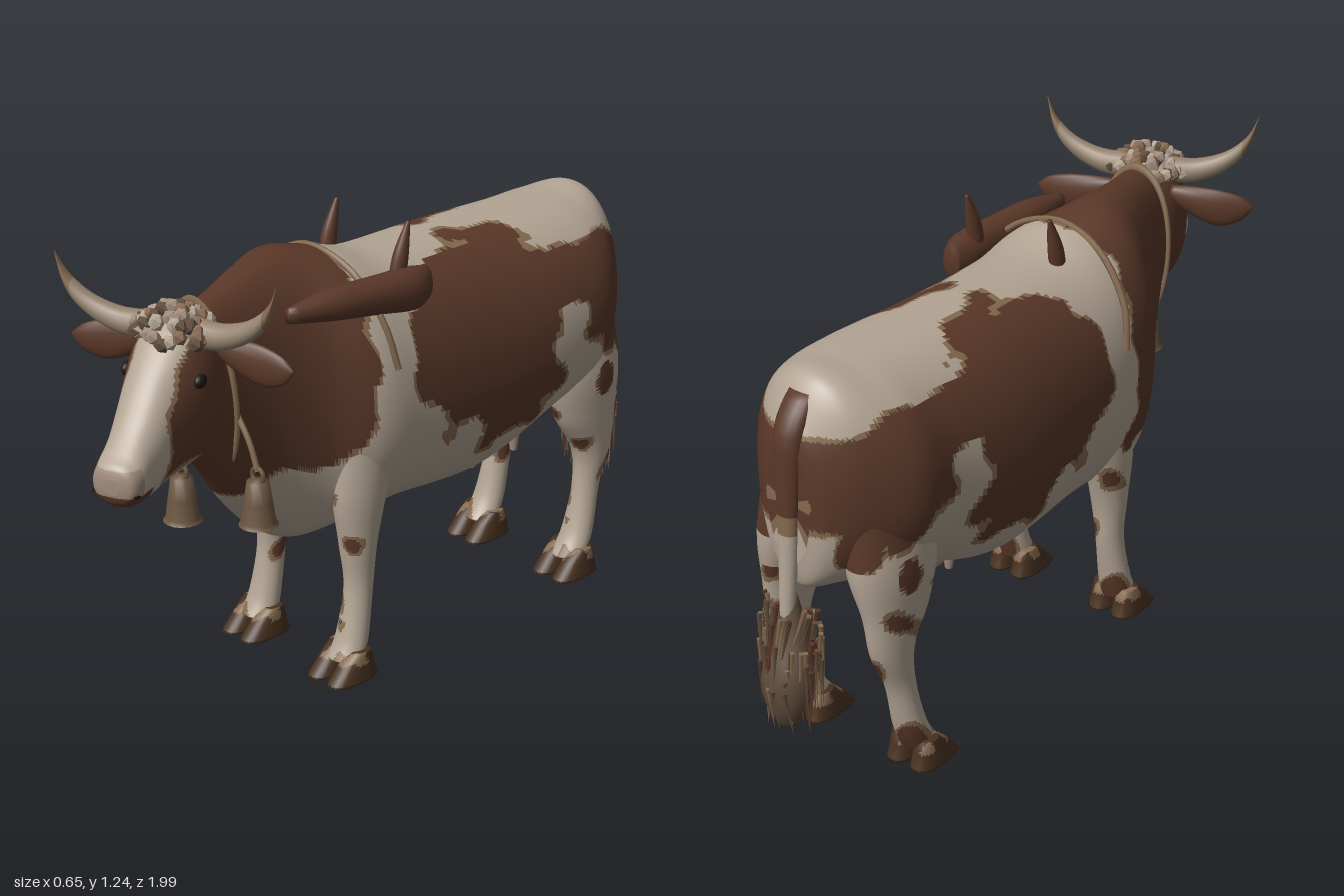
import * as THREE from 'three';

const mat = (name, color, side = THREE.FrontSide) => {
  const m = new THREE.MeshStandardMaterial({ color, side });
  m.name = name;
  return m;
};

// small seeded random generator
function seeded(seed) {
  return () => {
    seed = (seed * 16807) % 2147483647;
    return seed / 2147483647;
  };
}

// Catmull-Rom through rows of numbers, t from 0 to 1
function sample(rows, t) {
  const f = t * (rows.length - 1), i = Math.min(Math.floor(f), rows.length - 2), k = f - i;
  const at = (n) => rows[Math.max(0, Math.min(rows.length - 1, n))];
  return rows[0].map((_, c) => {
    const [a, b, d, e] = [at(i - 1)[c], at(i)[c], at(i + 1)[c], at(i + 2)[c]];
    return b + 0.5 * k * (d - a + k * (2 * a - 5 * b + 4 * d - e + k * (3 * (b - d) + e - a)));
  });
}

// Skin over oval sections; a row is [x, y, z, radius, radius], sections lie across the axis
function loft(name, rows, axis, materials, { around = 16, along = 16, power = 1, paint = () => 0 } = {}) {
  const pos = [];
  const pw = (v) => Math.sign(v) * Math.abs(v) ** power;
  for (let i = 0; i <= along; i++) {
    const [x, y, z, ra, rb] = sample(rows, i / along);
    const a = Math.max(ra, 0.001), b = Math.max(rb, 0.001);
    for (let j = 0; j < around; j++) {
      const th = (j / around) * Math.PI * 2, c = pw(Math.cos(th)) * a, s = pw(Math.sin(th)) * b;
      if (axis === 'z') pos.push(x + c, y + s, z);
      else if (axis === 'y') pos.push(x + c, y, z - s);
      else pos.push(x, y + c, z + s);
    }
  }
  const first = rows[0], last = rows[rows.length - 1], n = pos.length / 3;
  pos.push(...first.slice(0, 3), ...last.slice(0, 3));
  const flip = last['xyz'.indexOf(axis)] < first['xyz'.indexOf(axis)];
  const lists = materials.map(() => []);
  const add = (a, b, c) => {
    const mid = [0, 1, 2].map((k) => (pos[a * 3 + k] + pos[b * 3 + k] + pos[c * 3 + k]) / 3);
    lists[paint(...mid)].push(...(flip ? [a, c, b] : [a, b, c]));
  };
  for (let j = 0; j < around; j++) {
    const j2 = (j + 1) % around, e = along * around;
    add(n, j2, j);
    add(n + 1, e + j, e + j2);
    for (let i = 0; i < along; i++) {
      const p = i * around, q = p + around;
      add(p + j, p + j2, q + j2);
      add(p + j, q + j2, q + j);
    }
  }
  const g = new THREE.BufferGeometry();
  g.setAttribute('position', new THREE.Float32BufferAttribute(pos, 3));
  g.setIndex(lists.flat());
  let start = 0;
  lists.forEach((l, i) => { if (l.length) g.addGroup(start, l.length, i); start += l.length; });
  g.computeVertexNormals();
  const m = new THREE.Mesh(g, materials.length > 1 ? materials : materials[0]);
  m.name = name;
  return m;
}

const CX = -0.055; // middle line of the trunk
const wobble = (z, y) => 0.12 * Math.sin(z * 31 + y * 17) + 0.1 * Math.sin(y * 43 - z * 23);

// hide patches as ovals [z, height, half length, half height]
const PATCHES = [
  [-0.31, 0.92, 0.17, 0.3], [-0.12, 0.85, 0.16, 0.21], [-0.31, 0.7, 0.17, 0.17], [-0.02, 0.87, 0.07, 0.13], [-0.12, 1.04, 0.09, 0.09],
  [-0.54, 0.93, 0.18, 0.08], [-0.76, 0.85, 0.17, 0.17], [-0.72, 0.58, 0.035, 0.045], [-0.82, 0.68, 0.04, 0.06],
];
function hide(x, y, z) {
  const v = y + Math.max(0, 0.2 - Math.abs(x - CX)) * THREE.MathUtils.smoothstep(y, 0.9, 1.06);
  let f = Math.min((z - 0.18) / 0.1, (y - 0.58 - 0.25 * (x - CX)) / 0.1);
  for (const [pz, py, rz, ry] of PATCHES) f = Math.max(f, 1 - Math.hypot((z - pz) / rz, (v - py) / ry));
  f += wobble(z, v);
  return f > 0 ? 1 : f > -0.09 ? 2 : 0;
}

export function createModel() {
  const cream = mat('cream hide', 0xb3a594), brown = mat('brown hide', 0x5a3828), tan = mat('tan patch edge', 0x84694f);
  const hoofDark = mat('dark hoof', 0x47301f), horn = mat('horn', 0x94836f), dark = mat('dark eye and nostril', 0x1f1714);
  const hair = mat('tail hair', 0x5d4b3a), bellMetal = mat('bell metal', 0x6b5540, THREE.DoubleSide), pink = mat('muzzle and udder', 0xa08b7c);
  const hides = [cream, brown, tan];
  const cow = new THREE.Group();
  cow.name = 'cow';
  const mesh = (parent, name, geo, m, p, s = [1, 1, 1]) => {
    const o = new THREE.Mesh(geo, m);
    o.name = name;
    o.position.set(...p);
    o.scale.set(...s);
    parent.add(o);
    return o;
  };
  const ball = new THREE.SphereGeometry(1, 16, 12);

  // trunk and neck: z, middle x, half width, top, bottom
  const trunk = [
    [-0.885, -0.05, 0.065, 0.94, 0.62], [-0.865, CX, 0.105, 0.99, 0.55], [-0.8, CX, 0.175, 1.083, 0.53],
    [-0.69, -0.05, 0.25, 1.085, 0.51], [-0.55, -0.045, 0.26, 1.085, 0.47], [-0.3, -0.06, 0.268, 1.085, 0.375],
    [0, -0.06, 0.26, 1.085, 0.385], [0.15, -0.06, 0.25, 1.12, 0.37], [0.28, -0.08, 0.205, 1.145, 0.35],
    [0.4, -0.055, 0.155, 1.135, 0.42], [0.52, -0.02, 0.12, 1.115, 0.54], [0.62, 0.01, 0.1, 1.1, 0.67], [0.7, 0.03, 0.085, 1.08, 0.76],
  ].map(([z, x, w, t, b]) => [x, (t + b) / 2, z, w, (t - b) / 2]);
  cow.add(loft('body', trunk, 'z', hides, { around: 110, along: 200, power: 0.95, paint: hide }));

  // udder
  mesh(cow, 'udder', ball, pink, [CX, 0.46, -0.44], [0.1, 0.07, 0.13]);
  for (const s of [-1, 1]) for (const z of [-0.36, -0.53])
    mesh(cow, 'teat', new THREE.CylinderGeometry(0.018, 0.01, 0.06, 8), pink, [CX + s * 0.05, 0.395, z]);

  // legs with cloven hooves: height, distance from the middle line, z, half width, half depth
  const legs = {
    front: [[0.05, 0.172, 0.23, 0.05, 0.05], [0.11, 0.172, 0.208, 0.045, 0.042], [0.24, 0.17, 0.185, 0.038, 0.04], [0.36, 0.167, 0.183, 0.048, 0.053], [0.5, 0.165, 0.175, 0.058, 0.082], [0.66, 0.15, 0.15, 0.07, 0.1]],
    hind: [[0.05, 0.172, -0.64, 0.05, 0.05], [0.12, 0.172, -0.675, 0.045, 0.042], [0.25, 0.17, -0.705, 0.037, 0.042], [0.36, 0.165, -0.725, 0.045, 0.068], [0.47, 0.16, -0.7, 0.058, 0.11], [0.6, 0.14, -0.69, 0.083, 0.14], [0.76, 0.12, -0.69, 0.08, 0.13]],
  };
  for (const s of [-1, 1]) for (const kind of ['front', 'hind']) {
    const x = CX + s * 0.172, hz = kind === 'front' ? 0.245 : -0.625;
    const spots = (px, y, z) => {
      if (y > 0.52) return hide(px, y, z);
      const f = Math.sin(y * 37 + z * 29) + Math.sin(px * 51 + y * 19) + (y < 0.15 ? 1 : 0);
      return f > 1.6 ? 1 : f > 1.15 ? 2 : 0;
    };
    cow.add(loft(kind + 'Leg', legs[kind].map(([y, o, z, a, b]) => [CX + s * o, y, z, a, b]), 'y', hides, { around: 40, along: 80, paint: spots }));
    const patchy = (px, y, z) => (y > 0.045 && Math.sin(px * 90 + z * 70) > 0.3 ? 1 : 0);
    for (const c of [-1, 1])
      cow.add(loft('hoof', [[0, 0.08], [0.028, 0.062], [0.055, 0.046], [0.078, 0.026]].map(([y, b], i) =>
        [x + c * 0.037, y, hz - i * 0.009, 0.038 - i * 0.004, b]), 'y', [hoofDark, tan], { along: 12, around: 24, power: 0.8, paint: patchy }));
  }

  // tail and its tuft of hair
  cow.add(loft('tail', [[-0.04, 0.42, -0.9, 0.018, 0.018], [-0.045, 0.6, -0.89, 0.024, 0.02], [-0.05, 0.8, -0.885, 0.032, 0.022], [-0.05, 0.96, -0.87, 0.042, 0.03], [-0.05, 1.05, -0.81, 0.04, 0.03]],
    'y', hides, { paint: (x, y) => (y > 0.74 ? 1 : y > 0.7 ? 2 : 0) }));
  cow.add(loft('tailTuft', [[-0.045, 0.18, -0.915, 0.03, 0.025], [-0.045, 0.24, -0.91, 0.062, 0.055], [-0.045, 0.32, -0.905, 0.07, 0.062], [-0.042, 0.42, -0.89, 0.048, 0.04], [-0.04, 0.53, -0.885, 0.018, 0.018]], 'y', [hair]));
  const rnd = seeded(11);
  for (let i = 0; i < 130; i++) {
    const a = rnd() * 6.283, y = 0.23 + rnd() * 0.22;
    const r = (0.72 + rnd() * 0.4) * (0.012 + 0.066 * Math.sin(Math.PI * Math.min(1, (0.56 - y) / 0.44)));
    const strand = mesh(cow, 'tailStrand', new THREE.ConeGeometry(0.008, 0.13, 4), [hair, tan, brown][i % 3],
      [-0.045 + Math.cos(a) * r, y, -0.885 - 0.09 * (0.45 - y) + Math.sin(a) * r * 0.9]);
    const lean = (y - 0.3) * 2.2;
    strand.rotation.set(Math.PI - Math.sin(a) * lean, 0, Math.cos(a) * lean);
  }

  // head, turned towards its left
  const head = new THREE.Group();
  head.name = 'head';
  head.position.set(0.004, 0, 0.63);
  head.rotation.y = 0.37;
  cow.add(head);
  const face = (x, y, z) => {
    const f = Math.min((Math.abs(x) - 0.068) / 0.05, (0.235 - z) / 0.08) + wobble(z, y) * 0.8;
    if (z > 0.3 && y < 0.765) return 1;
    return z > 0.35 && y < 0.83 ? 3 : z < 0.02 || f > 0 ? 1 : f > -0.18 ? 2 : 0;
  };
  head.add(loft('skull', [
    [0, 0.94, -0.06, 0.05, 0.1], [0, 0.925, -0.01, 0.092, 0.155], [0, 0.92, 0.06, 0.11, 0.185], [0, 0.91, 0.13, 0.105, 0.178],
    [0, 0.865, 0.22, 0.08, 0.14], [0, 0.815, 0.3, 0.066, 0.097], [0, 0.793, 0.355, 0.064, 0.066], [0, 0.79, 0.385, 0.052, 0.046], [0, 0.79, 0.395, 0.02, 0.02],
  ], 'z', [...hides, pink], { around: 64, along: 80, power: 0.88, paint: face }));
  for (let i = 0; i < 70; i++) {
    const a = rnd() * 6.283, r = Math.sqrt(rnd()) * 0.105;
    mesh(head, 'pollCurl', new THREE.IcosahedronGeometry(0.02, 0), [pink, hair, cream, tan][i % 4],
      [Math.cos(a) * r, 1.118 - r * r * 5 + rnd() * 0.012, 0.085 + Math.sin(a) * r]);
  }
  mesh(head, 'mouth', new THREE.BoxGeometry(0.118, 0.008, 0.07), dark, [0, 0.768, 0.346]);
  for (const s of [-1, 1]) {
    head.add(loft('horn', [[0.05, 1.075, 0.08, 0.036, 0.036], [0.13, 1.075, 0.09, 0.033, 0.032], [0.21, 1.105, 0.1, 0.028, 0.025], [0.268, 1.16, 0.11, 0.022, 0.017], [0.295, 1.235, 0.12, 0.002, 0.002]]
      .map(([x, ...r]) => [s * x, ...r]), 'x', [horn, tan], { paint: (x) => (Math.abs(x) > 0.26 ? 1 : 0) }));
    head.add(loft('ear', [[0.08, 1.03, 0.03, 0.02, 0.018], [0.14, 1.01, 0.03, 0.042, 0.022], [0.21, 0.995, 0.035, 0.052, 0.02], [0.27, 0.995, 0.045, 0.035, 0.014], [0.3, 1.0, 0.05, 0.004, 0.004]]
      .map(([x, ...r]) => [s * x, ...r]), 'x', [brown]));
    mesh(head, 'eye', ball, dark, [s * 0.098, 0.975, 0.135], [0.013, 0.018, 0.022]);
    mesh(head, 'nostril', ball, dark, [s * 0.034, 0.812, 0.373], [0.018, 0.014, 0.015]);
  }

  // neck strap and two bells
  const strap = mesh(cow, 'neckStrap', new THREE.TorusGeometry(1, 0.06, 6, 40), tan, [0, 0.88, 0.59], [0.118, 0.23, 0.12]);
  strap.rotation.x = 0.1;
  const bellProfile = [[0.05, -0.06], [0.043, -0.05], [0.036, 0.0], [0.028, 0.055], [0.001, 0.06]].map(([x, y]) => new THREE.Vector2(x, y));
  for (const [x, y, z] of [[0.0, 0.61, 0.67], [0.18, 0.63, 0.58]]) {
    mesh(cow, 'bell', new THREE.LatheGeometry(bellProfile, 16), bellMetal, [x, y, z]);
    mesh(cow, 'bellLoop', new THREE.TorusGeometry(0.02, 0.006, 6, 12), bellMetal, [x, y + 0.07, z]);
    mesh(cow, 'clapper', ball, dark, [x, y - 0.055, z], [0.012, 0.012, 0.012]);
  }
  const hang = (name, pts, r) => mesh(cow, name, new THREE.TubeGeometry(
    new THREE.CatmullRomCurve3(pts.map((p) => new THREE.Vector3(...p))), 24, r, 6), tan, [0, 0, 0]);
  hang('bellStrap', [[0.18, 0.71, 0.58], [0.15, 0.78, 0.58], [0.09, 0.86, 0.58]], 0.008);
  hang('bellStrap', [[0, 0.69, 0.67], [0, 0.74, 0.65], [0.01, 0.8, 0.62]], 0.008);

  // padded roll on the shoulder, with pegs and a strap over the withers
  cow.add(loft('shoulderRoll', [[0.14, 1.03, -0.03, 0.025, 0.045], [0.145, 1.03, 0.03, 0.045, 0.058], [0.14, 1.04, 0.15, 0.045, 0.05], [0.13, 1.05, 0.3, 0.04, 0.04], [0.12, 1.05, 0.42, 0.015, 0.02]], 'z', [brown]));
  for (const x of [0.125, -0.135])
    cow.add(loft('peg', [[x, 1.04, 0.06, 0.02, 0.025], [x, 1.12, 0.045, 0.018, 0.022], [x, 1.2, 0.02, 0.005, 0.006]], 'y', [brown]));
  hang('withersStrap', [[0.195, 0.85, 0.12], [0.17, 0.96, 0.14], [0.08, 1.08, 0.16], [-0.06, 1.125, 0.17], [-0.19, 1.08, 0.16], [-0.285, 0.96, 0.14], [-0.308, 0.85, 0.12]], 0.009);
  return cow;
}
